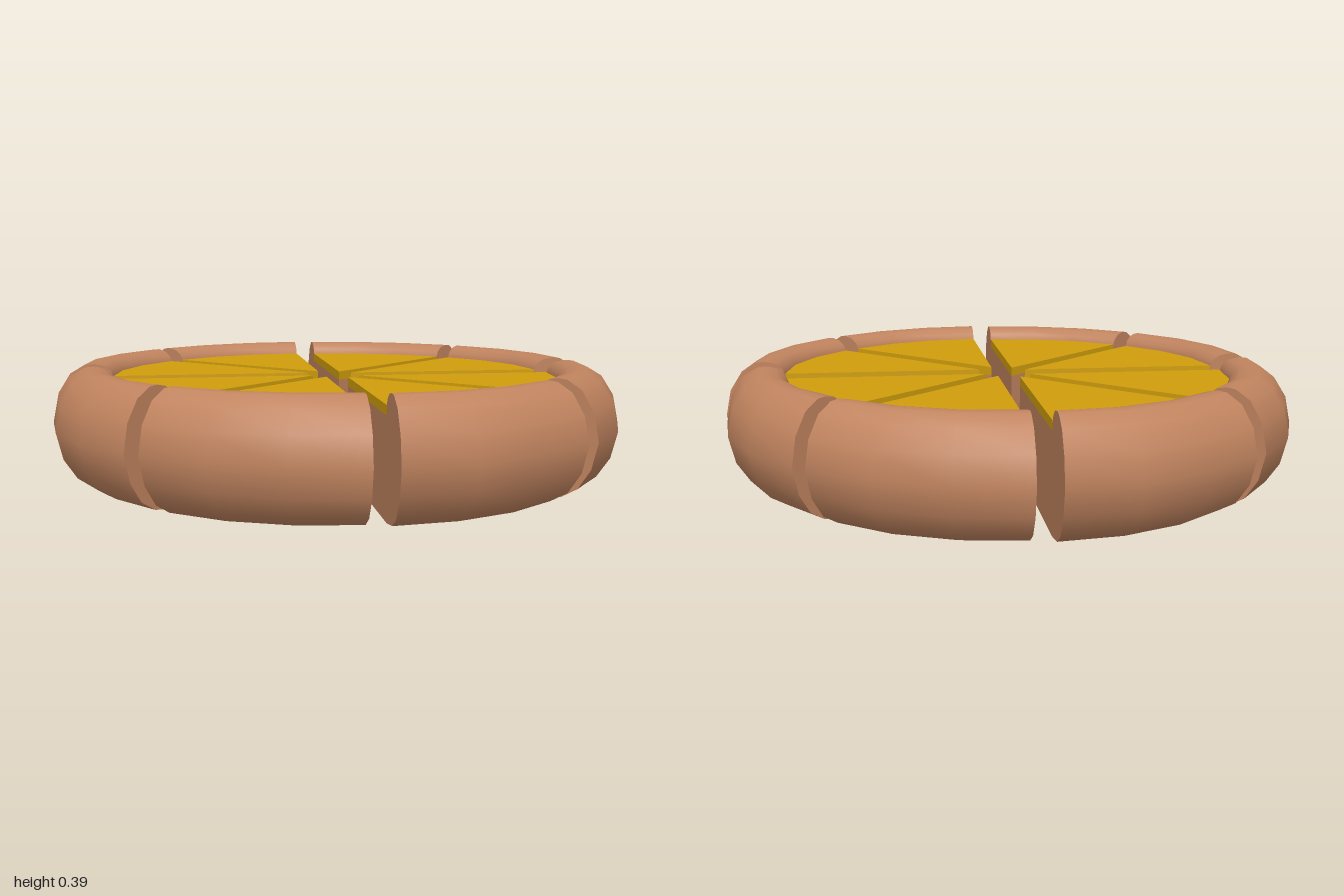
import * as THREE from 'three';
import { mergeGeometries, toCreasedNormals } from 'three/addons/utils/BufferGeometryUtils.js';

const WEDGE = Math.PI / 4;

// Solid 45 degree sector swept from a half section, with both cut faces closed
function sector(profile) {
  const points = profile.map(([r, y]) => new THREE.Vector2(r, y));
  const parts = [new THREE.LatheGeometry(points, 3, 0, WEDGE)];
  for (const [side, phi] of [[1, 0], [-1, WEDGE]]) {
    const shape = new THREE.Shape(points.map((p) => new THREE.Vector2(p.x * side, p.y)));
    const face = new THREE.ShapeGeometry(shape);
    face.rotateY(phi - side * Math.PI / 2);
    parts.push(face);
  }
  return toCreasedNormals(mergeGeometries(parts), 0.8);
}

export function createModel() {
  const model = new THREE.Group();
  model.name = 'slicedPie';

  const crustMaterial = new THREE.MeshStandardMaterial({ color: 0xc1845f });
  const cheeseMaterial = new THREE.MeshStandardMaterial({ color: 0xd09e0c });

  // Flat base running out into a rounded rim
  const crust = sector([
    [0, 0], [0.7, 0], [0.78, 0.012], [0.835, 0.045], [0.878, 0.11], [0.9, 0.2],
    [0.882, 0.29], [0.84, 0.357], [0.79, 0.387], [0.76, 0.39], [0.725, 0.383],
    [0.7, 0.365], [0.69, 0.34], [0.69, 0.315], [0, 0.315],
  ]);
  // Thin topping layer inside the rim
  const cheese = sector([[0, 0.315], [0.69, 0.315], [0.69, 0.346], [0, 0.346]]);

  // Tip position (x, z) of each slice, slightly uneven as if cut by hand
  const tips = [
    [0.03, 0.075], [0.097, 0.04], [0.1, -0.025], [0.025, -0.08],
    [-0.03, -0.08], [-0.097, -0.043], [-0.097, 0.018], [-0.03, 0.075],
  ];
  tips.forEach(([x, z], i) => {
    const slice = new THREE.Group();
    slice.name = `slice${i + 1}`;
    const base = new THREE.Mesh(crust, crustMaterial);
    base.name = 'crust';
    const topping = new THREE.Mesh(cheese, cheeseMaterial);
    topping.name = 'cheese';
    slice.add(base, topping);
    slice.rotation.y = i * WEDGE;
    slice.position.set(x, 0, z);
    model.add(slice);
  });
  return model;
}
